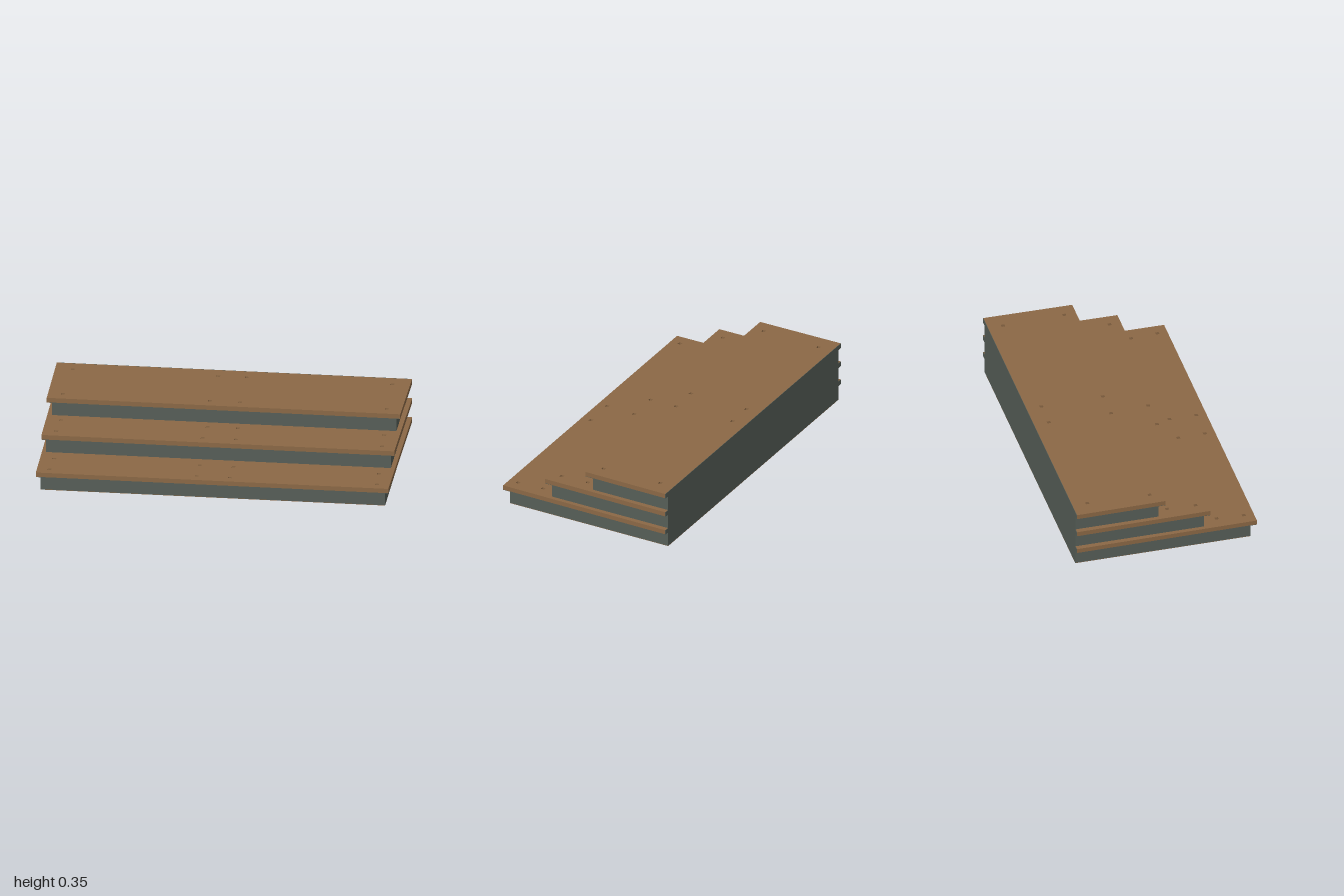
import * as THREE from 'three';

const BACK = -0.523, SKIN = 0.002;
const wood = new THREE.MeshStandardMaterial({ color: 0x8b6845 });
wood.name = 'brown wood';
const grey = new THREE.MeshStandardMaterial({ color: 0x565e57 });
grey.name = 'grey paint';

// each step: riser and tread heights, front edges, and screw hole rows [z, outer x, inner x]
const steps = [
  { y0: 0, y1: 0.087, y2: 0.115, riserZ: 0.492, treadZ: 0.523, half: 0.992, holes: [[0.31, 0.913, 0.095], [0.465, 0.922, 0.093]] },
  { y0: 0.115, y1: 0.201, y2: 0.23, riserZ: 0.222, treadZ: 0.253, half: 0.993, holes: [[0.025, 0.91, 0.085], [0.187, 0.917, 0.094]] },
  { y0: 0.23, y1: 0.317, y2: 0.346, riserZ: -0.04, treadZ: -0.008, half: 0.995, holes: [[-0.435, 0.9, 0.08], [-0.077, 0.912, 0.085]] },
];

function add(group, name, geometry, material) {
  const mesh = new THREE.Mesh(geometry, material);
  mesh.name = name;
  group.add(mesh);
}

function box(x, y0, y1, z0, z1) {
  return new THREE.BoxGeometry(2 * x, y1 - y0, z1 - z0).translate(0, (y0 + y1) / 2, (z0 + z1) / 2);
}

// board outline in x and z, slightly narrower at the front
function outline({ treadZ, half }) {
  return new THREE.Shape([[-1, BACK + SKIN], [1, BACK + SKIN], [half, treadZ], [-half, treadZ]]
    .map(([x, z]) => new THREE.Vector2(x, z)));
}

function board(shape, bottom, top) {
  return new THREE.ExtrudeGeometry(shape, { depth: top - bottom, bevelEnabled: false })
    .rotateX(Math.PI / 2).translate(0, top, 0);
}

export function createModel() {
  const model = new THREE.Group();
  model.name = 'steps';
  add(model, 'basePanel', box(0.97, 0, SKIN, BACK, 0.492), wood);

  steps.forEach((s, i) => {
    const step = new THREE.Group();
    step.name = 'step' + (i + 1);
    add(step, 'riser', box(0.97, s.y0 || SKIN, s.y1, BACK, s.riserZ), grey);

    // tread pierced by small square screw holes
    const shape = outline(s);
    const r = 0.01;
    for (const [z, outer, inner] of s.holes) {
      for (const x of [-outer, -inner, inner, outer]) {
        shape.holes.push(new THREE.Path([[-r, -r], [-r, r], [r, r], [r, -r]]
          .map(([dx, dz]) => new THREE.Vector2(x + dx, z + dz))));
      }
    }
    add(step, 'tread', board(shape, s.y1 + SKIN, s.y2), wood);

    // painted underside and back edge of the tread
    add(step, 'treadUnderside', board(outline(s), s.y1, s.y1 + SKIN), grey);
    add(step, 'treadBack', box(1, s.y1, s.y2, BACK, BACK + SKIN), grey);
    model.add(step);
  });
  return model;
}
